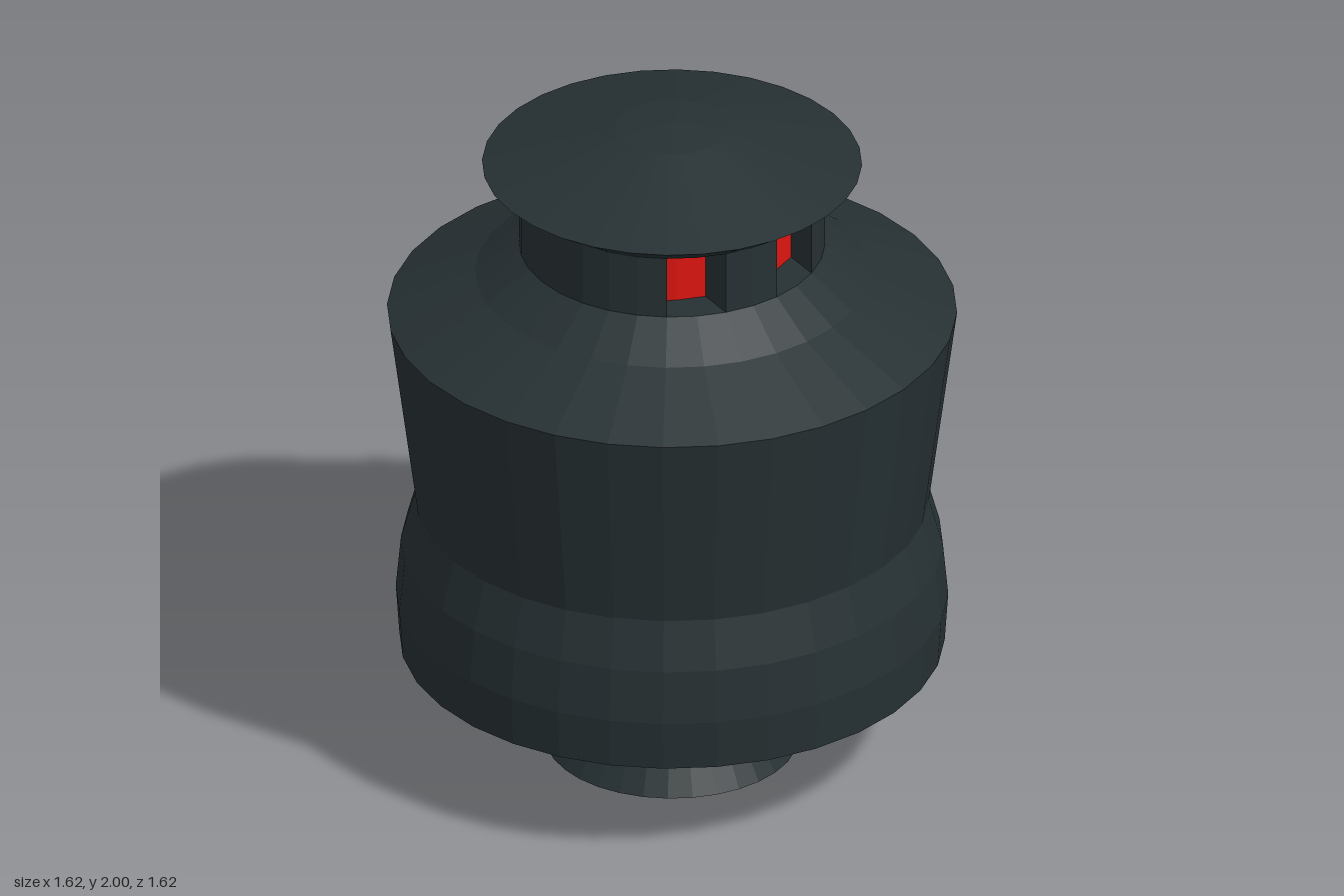
import * as THREE from 'three';

const SEGMENTS = 32;
const STEP = (Math.PI * 2) / SEGMENTS;
const NECK_R = 0.435, NECK_LOW = 1.61, NECK_HIGH = 1.8, RECESS = 0.11;

const dark = new THREE.MeshStandardMaterial({ color: 0x263033, flatShading: true, side: THREE.DoubleSide });
const red = new THREE.MeshStandardMaterial({ color: 0xdd1510, flatShading: true, side: THREE.DoubleSide });

// Turned part covering "count" facets from facet "start"
function turned(name, profile, material, start = 0, count = SEGMENTS) {
  const points = profile.map(([r, y]) => new THREE.Vector2(r, y));
  const mesh = new THREE.Mesh(new THREE.LatheGeometry(points, count, start * STEP, count * STEP), material);
  mesh.name = name;
  return mesh;
}

// Ribbon of quads between two rows of points
function ribbon(name, rowA, rowB, material) {
  const geometry = new THREE.BufferGeometry();
  geometry.setAttribute('position', new THREE.Float32BufferAttribute([...rowA, ...rowB].flat(), 3));
  const n = rowA.length, index = [];
  for (let i = 0; i < n - 1; i++) index.push(i, i + 1, n + i, i + 1, n + i + 1, n + i);
  geometry.setIndex(index);
  geometry.computeVertexNormals();
  const mesh = new THREE.Mesh(geometry, material);
  mesh.name = name;
  return mesh;
}

// Window cut straight back into the neck, with a red pane behind
function recessedWindow(name, start) {
  const group = new THREE.Group();
  group.name = name;
  const arc = (y, back) => [0, 1, 2].map((i) => {
    const a = (start + i) * STEP;
    return [NECK_R * Math.sin(a), y, NECK_R * Math.cos(a) - back];
  });
  const lowOut = arc(NECK_LOW, 0), lowIn = arc(NECK_LOW, RECESS);
  const highOut = arc(NECK_HIGH, 0), highIn = arc(NECK_HIGH, RECESS);
  group.add(
    ribbon('windowPane', lowIn, highIn, red),
    ribbon('windowSill', lowOut, lowIn, dark),
    ribbon('windowHead', highIn, highOut, dark),
  );
  // The wall at each end of the opening
  group.add(ribbon('windowWallA', [lowOut[0], lowIn[0]], [highOut[0], highIn[0]], dark));
  group.add(ribbon('windowWallB', [lowIn[2], lowOut[2]], [highIn[2], highOut[2]], dark));
  return group;
}

export function createModel() {
  const model = new THREE.Group();
  model.name = 'turnedBody';

  // Outer shell, open underneath, rising to the shoulder
  model.add(turned('shell', [
    [0.775, 0.33], [0.785, 0.48], [0.77, 0.64], [0.73, 0.785],
    [0.81, 1.395], [0.56, 1.515], [NECK_R, NECK_LOW],
  ], dark));

  // Neck between and behind the windows
  const neck = [[NECK_R, NECK_LOW], [NECK_R, NECK_HIGH]];
  model.add(turned('neckFront', neck, dark, -1, 2));
  model.add(turned('neckBack', neck, dark, 3, 26));
  model.add(recessedWindow('leftWindow', 1), recessedWindow('rightWindow', -3));

  // Overhanging cap
  model.add(turned('cap', [
    [NECK_R, NECK_HIGH], [0.54, 1.87], [0.16, 1.985], [0, 2],
  ], dark));

  // Stem and the bowl that flares up inside the shell
  model.add(turned('stemAndBowl', [
    [0.36, 0], [0.3, 0.1], [0.3, 0.235], [0.44, 0.31],
    [0.59, 0.43], [0.69, 0.58], [0.73, 0.785],
  ], dark));

  // Red funnel under the stem
  model.add(turned('nozzle', [[0, 0.13], [0.155, 0.11], [0.36, 0]], red));

  return model;
}
